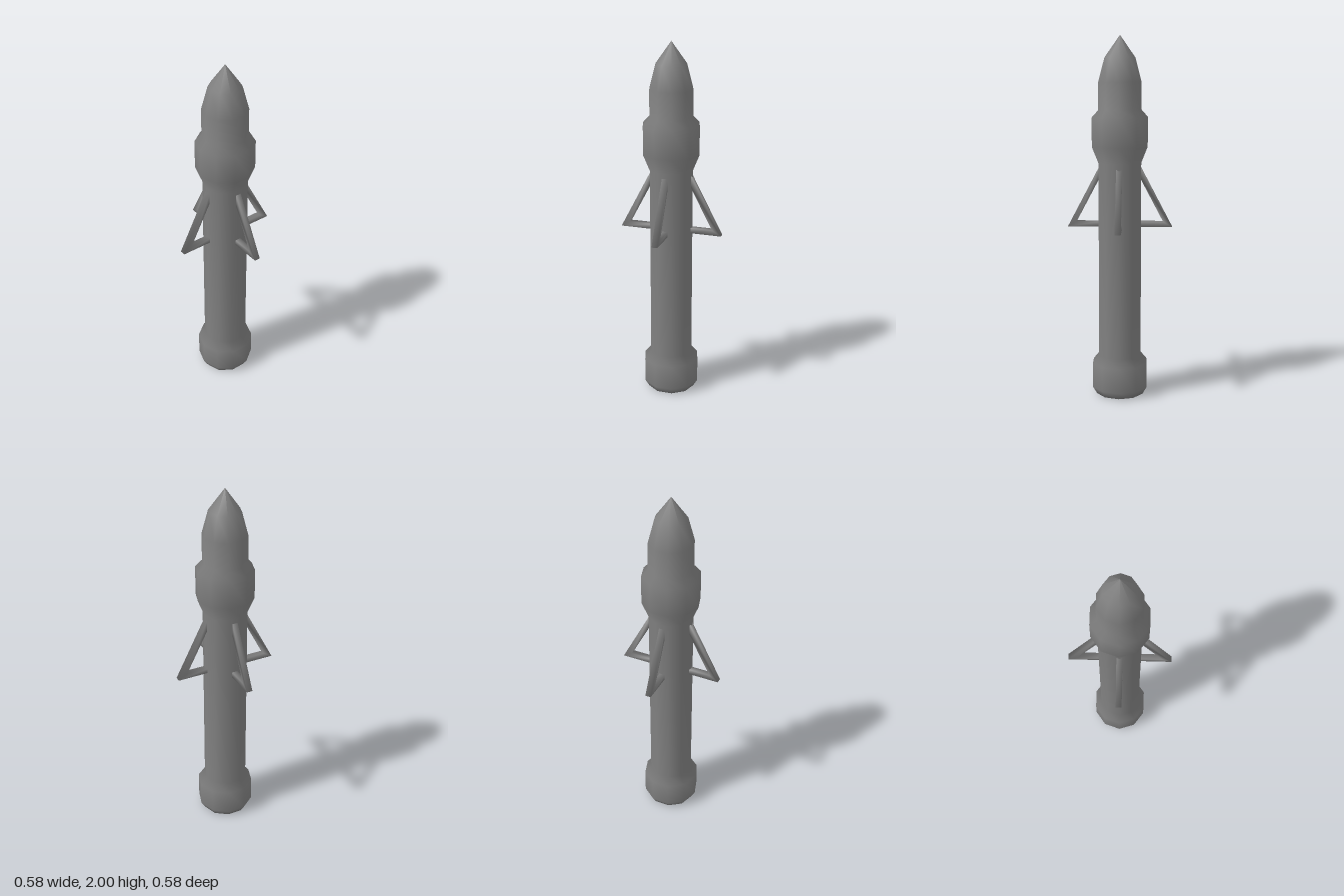
import * as THREE from 'three';

const material = new THREE.MeshStandardMaterial({ color: 0x808080 });

// Ten-sided turned hull with its corners on the x axis
function createHull() {
  const profile = [
    [0, 0], [0.135, 0], [0.159, 0.04], [0.159, 0.18], [0.122, 0.225], // base collar
    [0.122, 1.31], [0.159, 1.4], [0.159, 1.56], [0.122, 1.6],         // upper collar
    [0.122, 1.75], [0.087, 1.88], [0, 2],                             // nose
  ].map(([r, y]) => new THREE.Vector2(r, y));
  const hull = new THREE.Mesh(new THREE.LatheGeometry(profile, 10, Math.PI / 2), material);
  hull.name = 'hull';
  return hull;
}

// Square bar bent to a mitred corner, both ends buried in the hull
function createStrutGeometry() {
  const outer = [[0.1, 1.316], [0.289, 0.956], [0.1, 0.956]];
  const inner = [[0.1, 1.25], [0.239, 0.986], [0.1, 0.986]];
  const half = 0.016;
  const positions = [];
  const normals = [];
  const indices = [];
  outer.forEach((o, k) => {
    const n = inner[k];
    positions.push(...o, half, ...o, -half, ...n, -half, ...n, half);

    // Rounded shading: each corner's normal points away from the bar's centre line
    const out = new THREE.Vector2(o[0] - n[0], o[1] - n[1]).normalize();
    for (const [side, z] of [[1, 1], [1, -1], [-1, -1], [-1, 1]]) {
      normals.push(side * out.x * Math.SQRT1_2, side * out.y * Math.SQRT1_2, z * Math.SQRT1_2);
    }

    if (k === outer.length - 1) return;
    for (let s = 0; s < 4; s++) {
      const i = k * 4 + s;
      const j = k * 4 + ((s + 1) % 4);
      indices.push(i, i + 4, j + 4, i, j + 4, j);
    }
  });
  const geometry = new THREE.BufferGeometry();
  geometry.setAttribute('position', new THREE.Float32BufferAttribute(positions, 3));
  geometry.setAttribute('normal', new THREE.Float32BufferAttribute(normals, 3));
  geometry.setIndex(indices);
  return geometry;
}

export function createModel() {
  const model = new THREE.Group();
  model.name = 'rocket';
  model.add(createHull());

  // Four struts around the hull
  const strutGeometry = createStrutGeometry();
  ['leftStrut', 'backStrut', 'rightStrut', 'frontStrut'].forEach((name, i) => {
    const strut = new THREE.Mesh(strutGeometry, material);
    strut.name = name;
    strut.rotation.y = i * Math.PI / 2;
    model.add(strut);
  });
  return model;
}
